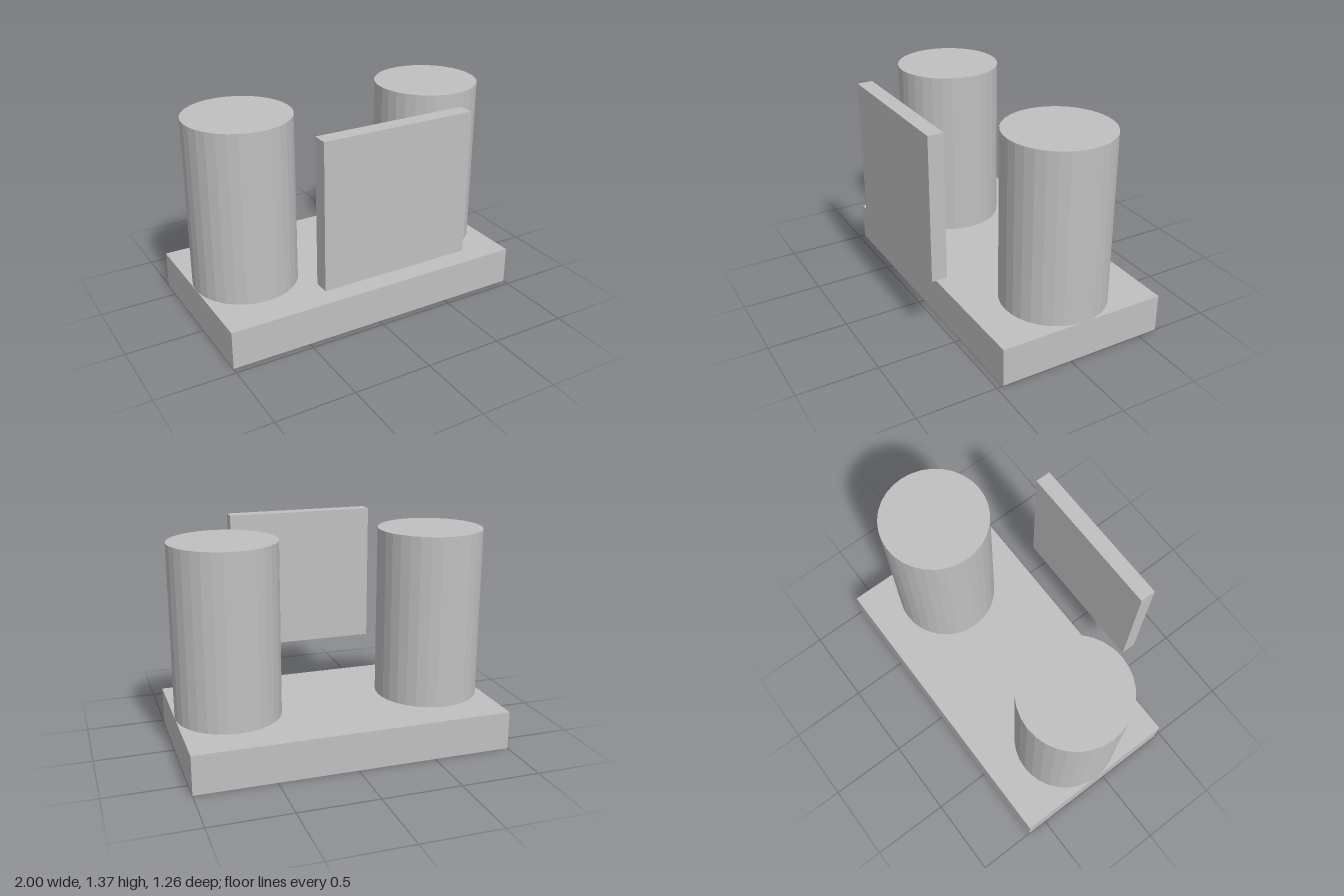
import * as THREE from 'three';

export function createModel() {
  const model = new THREE.Group();
  const grey = new THREE.MeshStandardMaterial({ color: 0xc0c0c0, flatShading: true });
  grey.name = 'plain grey';

  function add(name, geometry, x, y, z) {
    const mesh = new THREE.Mesh(geometry, grey);
    mesh.name = name;
    mesh.position.set(x, y, z);
    model.add(mesh);
  }

  // Slab that carries the columns
  const baseHeight = 0.245;
  add('base', new THREE.BoxGeometry(2, baseHeight, 1.09), 0, baseHeight / 2, -0.087);

  // Pair of faceted columns, flush with the ends of the slab
  const radius = 0.333, columnHeight = 1.09;
  for (const [name, side] of [['leftColumn', 1], ['rightColumn', -1]]) {
    add(name, new THREE.CylinderGeometry(radius, radius, columnHeight, 32),
      side * (1 - radius), baseHeight + columnHeight / 2, -0.087);
  }

  // Free-standing panel floating ahead of the slab
  add('frontPanel', new THREE.BoxGeometry(0.968, 0.908, 0.097), 0, 0.912, 0.584);

  return model;
}
